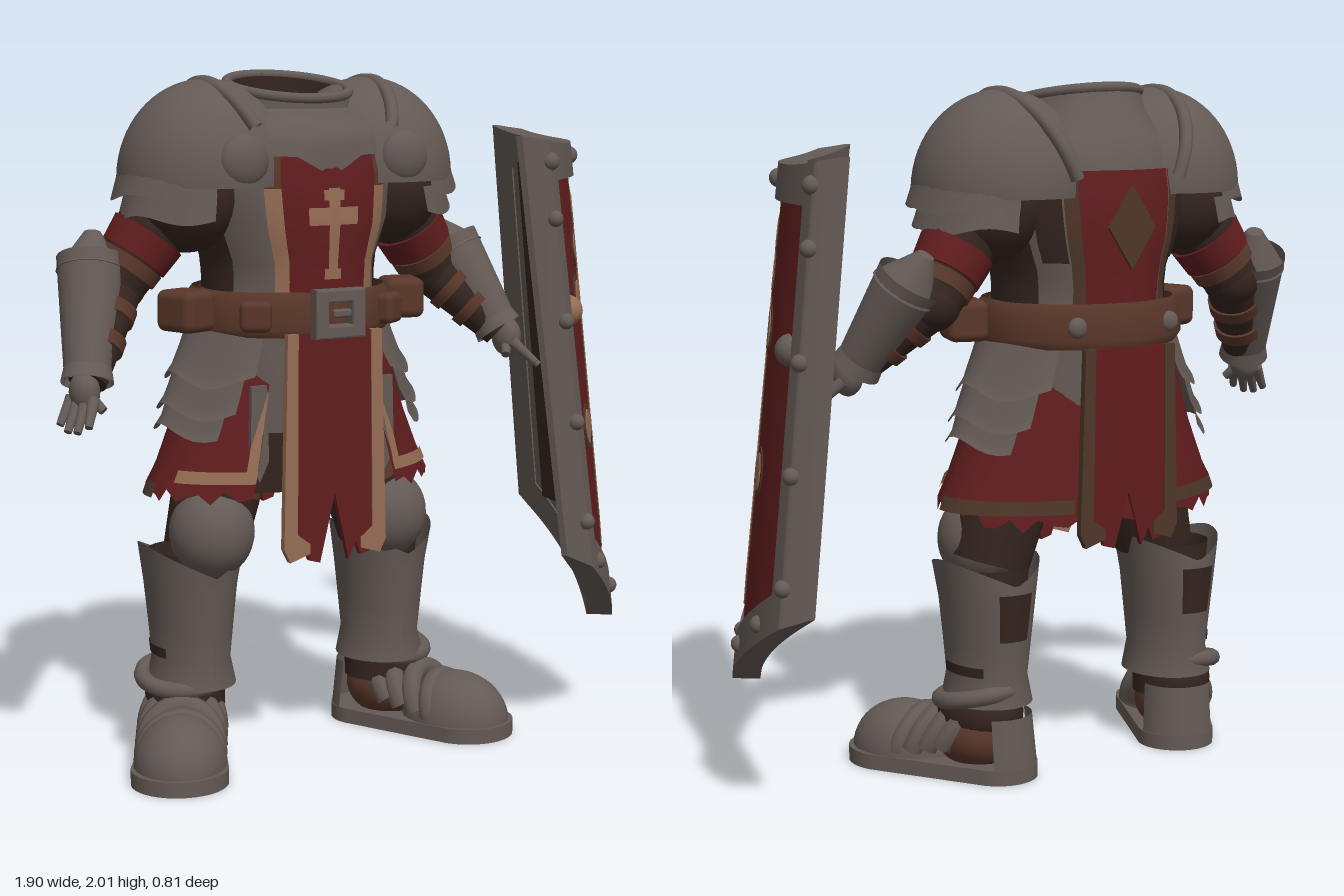
import * as THREE from 'three';
import { RoundedBoxGeometry } from 'three/addons/geometries/RoundedBoxGeometry.js';

const mat = (name, color) => new THREE.MeshStandardMaterial({ name, color, side: THREE.DoubleSide });
const steel = mat('steel', 0x645a55), red = mat('red cloth', 0x611d1e), tan = mat('tan trim', 0x966d54);
const leather = mat('leather', 0x5a372a), dark = mat('dark padding', 0x35251f), brown = mat('brown trim', 0x4e3629);
const V = (x, y, z) => new THREE.Vector3(x, y, z);
const lerp = THREE.MathUtils.lerp;

function add(parent, name, geo, material, pos = [0, 0, 0], rot = [0, 0, 0], scale = [1, 1, 1]) {
  const m = new THREE.Mesh(geo, material);
  m.name = name;
  m.position.set(...pos); m.rotation.set(...rot); m.scale.set(...scale);
  parent.add(m);
  return m;
}
const ball = (p, name, m, pos, scale, rot) => add(p, name, new THREE.SphereGeometry(1, 28, 18), m, pos, rot, scale);

// Tapered round bar from a to b
function limb(p, name, m, a, b, r0, r1, open = false) {
  const d = b.clone().sub(a), mesh = add(p, name, new THREE.CylinderGeometry(r1, r0, d.length(), 24, 1, open), m);
  mesh.position.copy(a).addScaledVector(d, 0.5);
  mesh.quaternion.setFromUnitVectors(V(0, 1, 0), d.normalize());
}

// Skin over elliptical rows [y, cx, cz, rx, rz], top to bottom; angle 0 is the front
function loft(rows, t0 = 0, t1 = Math.PI * 2, edit = () => 0) {
  const n = rows.length - 1, a = Math.min(t0, t1), len = Math.abs(t1 - t0);
  const g = new THREE.CylinderGeometry(1, 1, 1, Math.max(4, Math.ceil(len * 9)), n, true, a, len);
  const p = g.attributes.position;
  for (let i = 0; i < p.count; i++) {
    const k = Math.round((0.5 - p.getY(i)) * n), [y, cx, cz, rx, rz] = rows[k];
    const x = p.getX(i), z = p.getZ(i);
    p.setXYZ(i, cx + x * rx, y + edit(Math.atan2(x, z), k), cz + z * rz);
  }
  g.computeVertexNormals();
  return g;
}

const CZ = -0.12;
const torso = [[1.9, .2, .18], [1.83, .29, .23], [1.72, .32, .255], [1.58, .3, .262], [1.46, .25, .25], [1.36, .25, .245], [1.22, .3, .25], [0.98, .31, .24]];
function torsoRow(y, off = 0) {
  let i = 0;
  while (i < torso.length - 2 && torso[i + 1][0] > y) i++;
  const [a, b] = [torso[i], torso[i + 1]], t = (a[0] - y) / (a[0] - b[0]);
  return [y, 0, CZ, lerp(a[1], b[1], t) + off, lerp(a[2], b[2], t) + off];
}
// Thin layer that follows the chest
const wrap = (y0, y1, t0, t1, off, edit) =>
  loft([0, 1, 2, 3, 4, 5, 6].map(i => torsoRow(lerp(y1, y0, i / 6), off)), t0, t1, edit);

const outline = points => points.map(q => new THREE.Vector2(...q));
const shapePlate = (points, depth) =>
  new THREE.ExtrudeGeometry(new THREE.Shape(outline(points)), { depth, bevelEnabled: false });

// Hanging cloth with a ragged, split hem and a border on each side
function tabard(parent, name, trim, top, b, split) {
  const g = new THREE.Group();
  g.name = name; parent.add(g);
  add(g, 'cloth', shapePlate([[-.12, top], [-.125, b + .03], [-.1, b + .05], [-.085, b + .01], [-.05, b], [0, split],
    [.045, b], [.07, b + .05], [.085, b + .01], [.125, b + .02], [.12, top]], .016), red);
  for (const s of [-1, 1])
    add(g, 'border', shapePlate([[s * .12, top], [s * .155, top], [s * .17, b + .05], [s * .15, b + .01], [s * .085, b + .03], [s * .085, b + .06], [s * .125, b + .09]], .02), trim);
  return g;
}

function makeArm(body, s, elbow, wrist, name) {
  const arm = new THREE.Group(); arm.name = name; body.add(arm);
  const P = v => V(v.x * s, v.y, v.z);
  const sh = V(.34, 1.68, -.14), at = t => P(sh.clone().lerp(elbow, t));
  limb(arm, 'upperArm', dark, at(0), at(1), .12, .085);
  limb(arm, 'redSleeve', red, at(.5), at(.74), .112, .104);
  limb(arm, 'sleeveBand', leather, at(.76), at(.88), .1, .097);
  ball(arm, 'elbow', dark, at(1).toArray(), [.087, .087, .087]);
  const f = t => P(elbow.clone().lerp(wrist, t));
  limb(arm, 'forearm', dark, f(0), f(1), .08, .055);
  for (const t of [.25, .55]) limb(arm, 'forearmStrap', leather, f(t), f(t + .12), .086 - t * .02, .084 - t * .02);
  // tall gauntlet plate on the outside of the forearm, with a pointed elbow guard
  const gTop = P(elbow.clone().add(V(.07, .07, -.015))), gEnd = P(wrist);
  const gDir = gEnd.clone().sub(gTop).normalize();
  limb(arm, 'gauntlet', steel, gTop, gEnd, .1, .064, true);
  limb(arm, 'gauntletCuff', steel, gEnd.clone().addScaledVector(gDir, -.05), gEnd, .066, .075, true);
  limb(arm, 'elbowGuard', steel, gTop.clone().addScaledVector(gDir, .04), gTop.clone().addScaledVector(gDir, -.08), .1, .025);
  // hand
  const dir = f(1).sub(f(0)).normalize(), side = V(-.5 * s, 0, 1).normalize();
  const palm = f(1).addScaledVector(dir, .03);
  ball(arm, 'palm', steel, palm.toArray(), [.042, .06, .052]);
  for (let i = 0; i < 4; i++) {
    const a = palm.clone().addScaledVector(side, (i - 1.5) * .026).addScaledVector(dir, .02);
    const b = a.clone().addScaledVector(dir, i % 3 ? .11 : .09).addScaledVector(side, (i - 1.5) * .008);
    limb(arm, 'finger', steel, a, b, .018, .011);
  }
  limb(arm, 'thumb', steel, palm, palm.clone().add(V(-.035 * s, -.05, .05)), .02, .013);
}

function makeLeg(body, s) {
  const leg = new THREE.Group(); leg.name = s > 0 ? 'leftLeg' : 'rightLeg'; body.add(leg);
  limb(leg, 'thigh', dark, V(.17 * s, 1.08, CZ), V(.295 * s, .62, -.1), .15, .12);
  limb(leg, 'thighStrap', leather, V(.245 * s, .84, -.105), V(.262 * s, .79, -.1), .138, .138);
  ball(leg, 'kneeCap', steel, [.295 * s, .68, -.05], [.125, .135, .125]);
  const X = s * .325;
  add(leg, 'greave', loft([[.58, X, -.13, .152, .168], [.52, X, -.135, .13, .165], [.4, X, -.135, .118, .152], [.3, X, -.135, .11, .138], [.22, X, -.135, .128, .148]],
    0, Math.PI * 2, (t, k) => k ? 0 : .07 * Math.abs(Math.sin(t)) - .02 * Math.max(0, Math.cos(t))), steel);
  add(leg, 'calfPadding', loft([[.62, X, -.14, .125, .115], [.45, X, -.14, .1, .115], [.15, X, -.14, .1, .11]]), dark);
  add(leg, 'calfGap', loft([[.56, X, -.135, .148, .173], [.42, X, -.136, .124, .158]], 2.75, 3.5), dark);
  add(leg, 'greaveStrap', loft([[.34, X, -.135, .117, .147], [.31, X, -.135, .114, .143]], s * 1.2, s * 2.4), dark);
  // boot, toes turned out
  const foot = new THREE.Group(); foot.name = 'boot';
  foot.position.set(.35 * s, 0, -.14); foot.rotation.y = .5 * s; leg.add(foot);
  const sole = new THREE.Shape();
  sole.absarc(0, .29, .14, 0, Math.PI, false);
  sole.absarc(0, -.06, .115, Math.PI, Math.PI * 2, false);
  const sg = new THREE.ExtrudeGeometry(sole, { depth: .045, bevelEnabled: false, curveSegments: 20 });
  add(foot, 'sole', sg.rotateX(Math.PI / 2).translate(0, .045, 0), steel);
  add(foot, 'toeCap', new THREE.SphereGeometry(1, 28, 12, 0, Math.PI * 2, 0, Math.PI / 2), steel, [0, .04, .25], [0, 0, 0], [.135, .145, .17]);
  ball(foot, 'bootLeather', leather, [0, .12, .01], [.117, .105, .13]);
  ball(foot, 'ankle', dark, [0, .19, 0], [.113, .1, .13]);
  add(foot, 'heelCup', loft([[.19, 0, -.045, .108, .112], [.04, 0, -.055, .114, .118]], 2, 4.28), steel);
  for (let i = 0; i < 4; i++)
    add(foot, 'instepPlate', new THREE.TorusGeometry(.11, .032, 8, 24, Math.PI), steel, [0, .06 + .012 * i, .22 - i * .05], [-.3 - .1 * i, 0, 0], [.95, .95 + .1 * i, 1]);
  add(foot, 'ankleRing', new THREE.TorusGeometry(.12, .025, 10, 32), steel, [0, .245, 0], [Math.PI / 2 + .2, 0, 0]);
}

// Point on the curved, leaning shield: u across, y height, d outward; thinner towards both side edges
const tipU = .42;
const shieldBottom = u => u < tipU ? lerp(.58, .31, u / tipU) : lerp(.31, .6, (u - tipU) / (1 - tipU));
function shieldPoint(u, y, d) {
  const w = 1 - u, k = (1.8 - y) / 1.2;
  const x = w * w * .36 + 2 * w * u * .75 + u * u * .73, z = w * w * .3 + 2 * w * u * .09 - u * u * .37;
  const tx = w * .39 - u * .02, tz = -w * .21 - u * .46, l = Math.hypot(tx, tz);
  const e = d * Math.min(1, .25 + 14 * Math.min(u, w));
  return V(x + .13 * k - tz / l * e, y, z + (.065 - .085 * u) * k + tx / l * e);
}

function makeShield(root) {
  const g = new THREE.Group(); g.name = 'shield'; root.add(g);
  const fn = h => typeof h === 'function' ? h : () => h;
  function slab(name, m, u0, u1, lo, hi, d0, d1, nu = 16) {
    const geo = new THREE.BoxGeometry(1, 1, 1, nu, 6, 1), p = geo.attributes.position;
    for (let i = 0; i < p.count; i++) {
      const u = lerp(u0, u1, p.getX(i) + .5), y = lerp(fn(lo)(u), fn(hi)(u), p.getY(i) + .5);
      const q = shieldPoint(u, y, lerp(d0, d1, p.getZ(i) + .5));
      p.setXYZ(i, q.x, q.y, q.z);
    }
    geo.computeVertexNormals();
    add(g, name, geo, m);
  }
  const top = u => 1.79 + .03 * (2 * u - 1) ** 4, b = shieldBottom;
  slab('board', steel, 0, 1, b, top, 0, .05, 50);
  slab('redField', red, .1, .9, u => b(u) + .1, 1.7, .05, .057, 40);
  slab('topRim', steel, 0, 1, 1.69, top, -.005, .075, 40);
  slab('frontRim', steel, 0, .11, b, top, -.005, .075);
  slab('backRim', steel, .89, 1, b, top, -.005, .075);
  slab('lowerRim', steel, 0, tipU, b, u => b(u) + .11, -.005, .075, 24);
  slab('lowerRim', steel, tipU, 1, b, u => b(u) + .11, -.005, .075, 24);
  slab('backStrip', dark, .66, .84, .62, 1.71, -.008, 0);
  // sword-shaped cross with a dark outline, on a dark stripe
  const C = .425;
  slab('emblemStripe', brown, C - .065, C + .06, u => b(u) + .1, 1.69, .055, .0585);
  for (const [m, pad, d] of [[brown, .018, .06], [tan, 0, .063]]) {
    const bar = (u0, u1, y0, y1) => slab('emblemBar', m, u0 - pad, u1 + pad, y0 - pad, y1 + pad, .055, d);
    const lobe = (u, y, w, h) => {
      const e = q => (h + pad) * Math.sqrt(Math.max(0, 1 - ((q - u) / (w + pad)) ** 2));
      slab('emblemLobe', m, u - w - pad, u + w + pad, q => y - e(q), q => y + e(q), .055, d);
    };
    bar(C - .04, C + .04, .7, 1.57);
    slab('emblemBlade', m, C - .04 - pad, C + .04 + pad, u => .53 - pad + 3 * Math.abs(u - C), .72, .055, d);
    lobe(C, 1.58, .055, .055);
    bar(C - .08, C + .08, 1.455, 1.495);
    bar(C - .12, C + .13, 1.305, 1.35);
    bar(C - .18, C + .19, .915, .965);
    lobe(C, 1.33, .09, .07); lobe(C, .94, .08, .065);
    for (const s of [-1, 1]) { lobe(C + s * .08, 1.475, .035, .04); lobe(C + s * .13, 1.33, .045, .05); lobe(C + s * .18, .94, .04, .052); }
  }
  const stud = (u, y, r, m, d = .07) => ball(g, 'stud', m, shieldPoint(u, y, d).toArray(), [r, r, r]);
  stud(.17, 1.3, .046, tan, .045); stud(.82, 1.3, .046, steel, .045);
  for (let i = 0; i < 4; i++) { stud(.06, .68 + i * .3, .025, steel); stud(.94, .68 + i * .3, .025, steel); }
  for (const u of [.07, .5, .93]) stud(u, 1.745, .027, steel);
  for (const u of [.14, .32, .6, .8]) stud(u, b(u) + .055, .025, steel);
}

export function createModel() {
  const root = new THREE.Group(); root.name = 'headlessKnight';
  const body = new THREE.Group(); body.name = 'body'; body.position.x = -.165; root.add(body);

  // cuirass and neck
  add(body, 'cuirass', loft(torso.map(r => torsoRow(r[0]))), steel);
  const collar = new THREE.Group(); collar.name = 'collar';
  collar.position.set(0, 1.935, -.12); collar.rotation.x = .18; body.add(collar);
  add(collar, 'collarWall', loft([[.03, 0, 0, .185, .175], [-.03, 0, 0, .19, .185], [-.12, 0, 0, .25, .22]]), steel);
  add(collar, 'collarRim', new THREE.TorusGeometry(.18, .015, 10, 40), steel, [0, .025, 0], [Math.PI / 2, 0, 0], [1, .96, 1]);
  add(collar, 'collarLining', loft([[.03, 0, 0, .168, .16], [-.05, 0, 0, .15, .145]]), dark);
  ball(collar, 'neckFloor', steel, [0, -.045, 0], [.155, .012, .15]);
  ball(collar, 'neckShadowPad', dark, [0, -.04, .045], [.09, .014, .055]);
  add(body, 'gorget', wrap(1.77, 1.88, -.75, .75, .02, (t, k) => k === 6 ? -.06 * Math.max(0, 1 - Math.abs(t) * 3) : 0), steel);

  // chest and back cloth
  add(body, 'chestCloth', wrap(1.36, 1.78, -.5, .5, .012), red);
  add(body, 'backCloth', wrap(1.36, 1.76, Math.PI - .5, Math.PI + .5, .008), red);
  for (const s of [-1, 1]) {
    add(body, 'chestBorder', wrap(1.36, 1.68, s * .48, s * .64, .015), tan);
    add(body, 'chestStrap', wrap(1.68, 1.8, s * .48, s * .64, .015), leather);
    add(body, 'backBorder', wrap(1.36, 1.76, Math.PI + s * .5, Math.PI + s * .64, .01), brown);
    add(body, 'backGap', wrap(1.5, 1.85, Math.PI + s * .66, Math.PI + s * .95, .008), dark);
    add(body, 'sideGap', wrap(1.38, 1.66, s * 1.15, s * 2.1, .006), dark);
  }
  for (const [y0, y1, h] of [[1.42, 1.68, .055], [1.575, 1.625, .25], [1.645, 1.675, .1], [1.42, 1.45, .1]])
    add(body, 'chestCross', wrap(y0, y1, -h, h, .019), tan);
  add(body, 'backDiamond', shapePlate([[-.08, 1.6], [0, 1.48], [.08, 1.6], [0, 1.72]], .009), brown, [0, 0, -.396]);

  // belt, buckle, pouches
  add(body, 'belt', loft([[1.385, 0, CZ, .29, .255], [1.36, 0, CZ, .312, .268], [1.28, 0, CZ, .32, .272], [1.255, 0, CZ, .3, .26]]), leather);
  const frame = new THREE.Shape(outline([[-.075, -.065], [.075, -.065], [.075, .065], [-.075, .065]]));
  frame.holes.push(new THREE.Path(outline([[-.045, -.038], [-.045, .038], [.045, .038], [.045, -.038]])));
  add(body, 'buckle', new THREE.ExtrudeGeometry(frame, { depth: .03, bevelSize: .006, bevelThickness: .006, bevelSegments: 2 }), steel, [0, 1.325, .16]);
  add(body, 'bucklePin', new RoundedBoxGeometry(.06, .025, .02, 2, .008), steel, [.01, 1.325, .18]);
  for (const s of [-1, 1]) {
    add(body, 'pouch', new RoundedBoxGeometry(.12, .12, .14, 3, .025), leather, [s * .36, 1.33, -.07], [0, -s * .3, 0]);
    add(body, 'beltPouch', new RoundedBoxGeometry(.09, .09, .06, 3, .02), leather, [s * .22, 1.32, .09], [0, s * .6, 0]);
    ball(body, 'beltRivet', steel, [s * .16, 1.32, -.355], [.03, .03, .02]);
  }

  // skirt, hip plates, hanging cloths
  const skirt = [[1.22, 0, CZ, .3, .23], [1.0, 0, CZ, .37, .245], [.88, 0, CZ, .42, .255], [.8, 0, CZ, .455, .262]];
  const rag = (t, k) => k === 3 ? .02 * Math.sin(t * 23) - (Math.abs(t) > 2 ? .04 : 0) : 0;
  for (const s of [-1, 1]) {
    add(body, 'skirt', loft(skirt, s * .55, s * 3.142, rag), red);
    add(body, 'skirtHem', loft([[.875, 0, CZ, .43, .265], [.84, 0, CZ, .446, .268]], s * .55, s * 1.25), tan);
    add(body, 'skirtEdge', loft([[1.1, 0, CZ, .345, .247], [.84, 0, CZ, .446, .268]], s * .55, s * .63), tan);
    add(body, 'skirtBackHem', loft([[.83, 0, CZ, .448, .266], [.79, 0, CZ, .465, .269]], s * 1.5, s * 2.75), brown);
    [[1.27, 1.13, .315, .375], [1.17, 1.04, .345, .4], [1.08, .98, .37, .41]].forEach(([a, b, r, q], i) =>
      add(body, 'hipPlate', loft([[a, 0, CZ, r, r * .76], [b + .03, 0, CZ, q - .01, q * .67], [b, 0, CZ, q + .012, q * .67 + .012]],
        s * (.62 + i * .14), s * (2.5 - i * .15), (t, k) => k ? -.02 * Math.cos(t * 6) : 0), steel));
    add(body, 'hangingMail', loft([[1.2, 0, CZ, .3, .245], [.8, 0, CZ, .34, .2]], s * .3, s * .75), dark);
    add(body, 'hangingPlate', shapePlate([[-.025, 1.12], [.025, 1.12], [.03, .9], [0, .84], [-.03, .9]], .015), steel, [s * .21, 0, .075]);
  }
  tabard(body, 'frontTabard', tan, 1.27, .6, .8).position.z = .14;
  const tail = tabard(body, 'backTabard', brown, 1.26, .68, .84);
  tail.rotation.y = Math.PI; tail.position.z = -.372;

  // shoulders
  for (const s of [-1, 1]) {
    ball(body, 'shoulderPadding', dark, [s * .33, 1.66, -.13], [.17, .17, .18]);
    add(body, 'shoulderPlate', new THREE.SphereGeometry(1, 36, 18, 0, Math.PI * 2, 0, 1.62), steel, [s * .265, 1.7, CZ], [0, 0, 0], [.26, .285, .25]);
    for (let i = 0; i < 2; i++) {
      const y = 1.73 - i * .06, r = .25 - i * .018;
      add(body, 'shoulderLame', loft([[y, s * .27, CZ, r, r * .95], [y - .075, s * .275, CZ, r + .02, r * .95 + .01]],
        s * .3, s * 2.85, (t, k) => k ? .012 * Math.cos(t * 5) : 0), steel);
    }
    add(body, 'shoulderFlange', new THREE.TorusGeometry(.255, .02, 10, 40, Math.PI * .84), steel, [s * .175, 1.74, CZ])
      .rotation.set(0, Math.PI / 2, -s * .4, 'ZYX');
    ball(body, 'shoulderDisc', steel, [s * .262, 1.76, .105], [.076, .076, .04]);
  }
  makeArm(body, -1, V(.53, 1.41, -.17), V(.685, 1.15, -.04), 'rightArm');
  makeArm(body, 1, V(.53, 1.4, -.17), V(.7, 1.21, -.04), 'leftArm');
  makeLeg(body, 1);
  makeLeg(body, -1);
  makeShield(root);
  return root;
}
